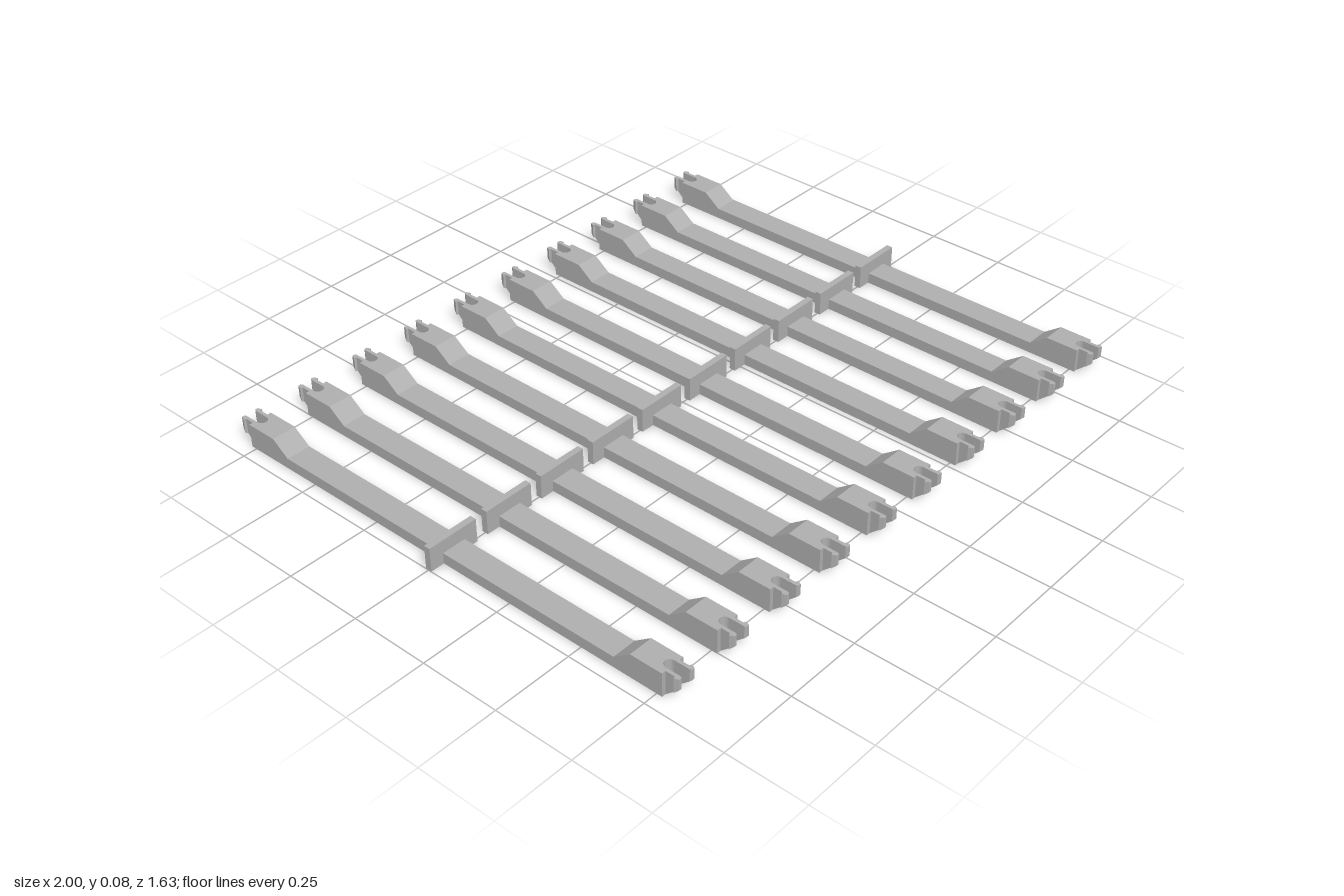
import * as THREE from 'three';

const COUNT = 10, PITCH = 0.2037, WIDTH = 0.077, HEIGHT = 0.075;
const BODY_END = 0.768, TIP = 0.813, SLOT = 0.016;

const polygon = (points) => new THREE.Shape(points.map(([a, b]) => new THREE.Vector2(a, b)));

// Extrudes a plan drawn in (x, z) from the ground up to the full height
function extrudePlan(shape) {
  return new THREE.ExtrudeGeometry(shape, { depth: HEIGHT, bevelEnabled: false, curveSegments: 8 })
    .rotateX(Math.PI / 2).translate(0, HEIGHT, 0);
}

// Flat rail with a sloped ramp up to each end block, drawn in (z, y)
function railGeometry() {
  const shape = polygon([
    [-0.665, 0], [0.665, 0], [0.665, HEIGHT], [0.61, 0.034], [-0.61, 0.034], [-0.665, HEIGHT],
  ]);
  return new THREE.ExtrudeGeometry(shape, { depth: WIDTH, bevelEnabled: false })
    .translate(0, 0, -WIDTH / 2).rotateY(-Math.PI / 2);
}

// End block with a round-bottomed slot between the prongs
function endBlockGeometry() {
  const w = WIDTH / 2, shape = new THREE.Shape();
  shape.moveTo(-w, 0.665);
  shape.lineTo(w, 0.665);
  shape.lineTo(w, BODY_END);
  shape.lineTo(SLOT, BODY_END);
  shape.lineTo(SLOT, 0.759);
  shape.absarc(0, 0.759, SLOT, 0, -Math.PI, true);
  shape.lineTo(-SLOT, BODY_END);
  shape.lineTo(-w, BODY_END);
  return extrudePlan(shape);
}

// Barbed prong whose underside rises towards the tip
function prongGeometry(side) {
  const plan = [
    [SLOT, BODY_END], [0.026, BODY_END], [0.026, 0.797],
    [0.033, 0.8], [0.028, TIP], [0.019, TIP], [SLOT, 0.808],
  ].map(([x, z]) => [side * x, z]);
  const geometry = extrudePlan(polygon(plan));
  const p = geometry.attributes.position;
  for (let i = 0; i < p.count; i++) {
    if (p.getY(i) < 0.01) p.setY(i, Math.max(0, (p.getZ(i) - BODY_END) * 0.9));
  }
  geometry.computeVertexNormals();
  return geometry;
}

export function createModel() {
  const grey = new THREE.MeshStandardMaterial({ color: 0xb0b0b0 });
  grey.name = 'grey plastic';

  const rail = railGeometry();
  const block = endBlockGeometry();
  const prongs = [-1, 1].map(prongGeometry);
  const plate = new THREE.BoxGeometry(0.165, HEIGHT, 0.02).translate(0, HEIGHT / 2, 0);

  const add = (parent, geometry, name) => {
    const mesh = new THREE.Mesh(geometry, grey);
    mesh.name = name;
    parent.add(mesh);
  };

  const model = new THREE.Group();
  model.name = 'clipRails';
  for (let i = 0; i < COUNT; i++) {
    const bar = new THREE.Group();
    bar.name = 'clipRail' + (i + 1);
    bar.position.x = (i - (COUNT - 1) / 2) * PITCH;
    add(bar, rail, 'rail');
    add(bar, plate, 'crossPlate');
    // Same clip at the front and the back
    for (const end of ['front', 'back']) {
      const clip = new THREE.Group();
      clip.name = end + 'Clip';
      if (end === 'back') clip.rotation.y = Math.PI;
      add(clip, block, 'endBlock');
      prongs.forEach((g, k) => add(clip, g, k ? 'leftProng' : 'rightProng'));
      bar.add(clip);
    }
    model.add(bar);
  }
  return model;
}
